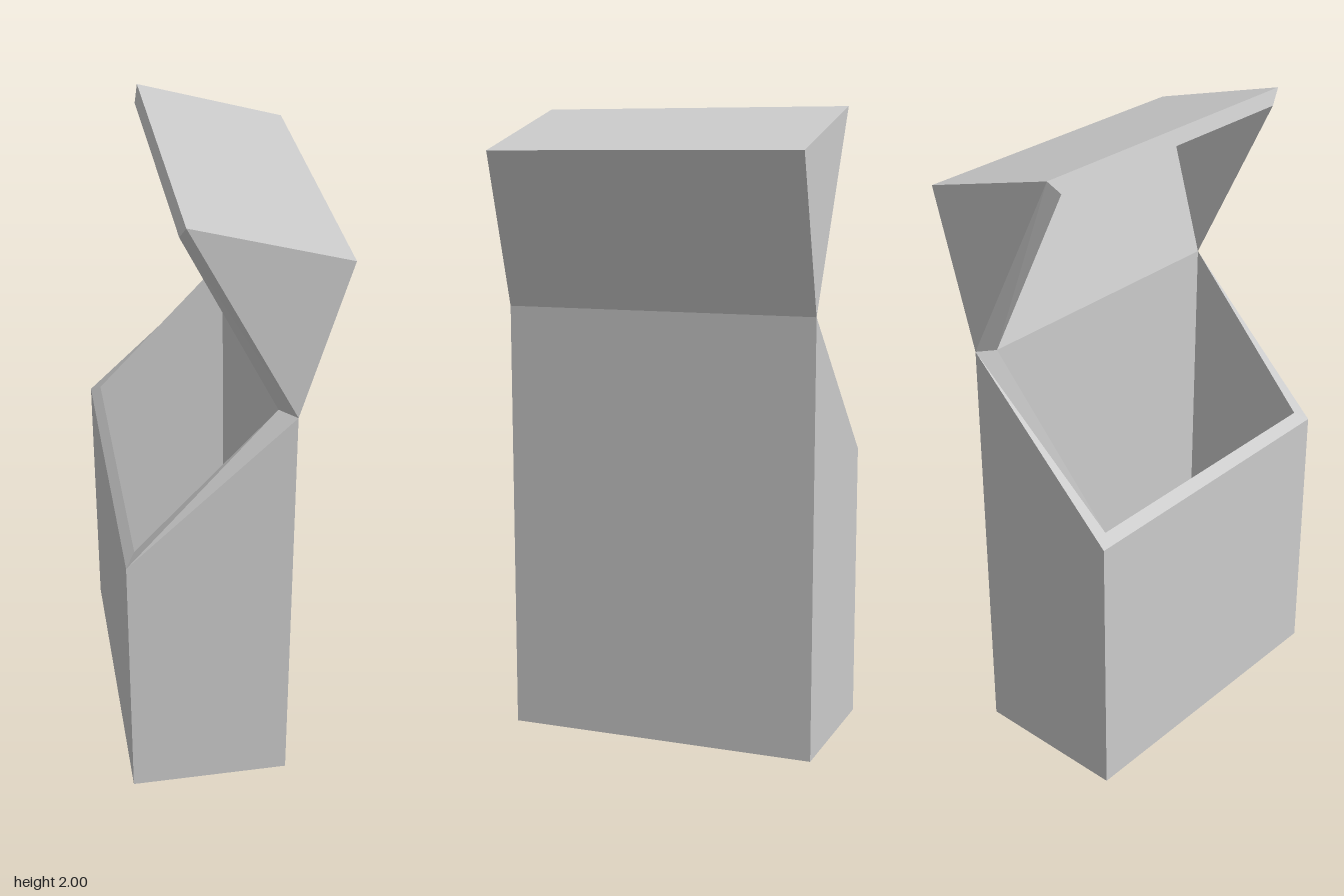
import * as THREE from 'three';

const OUTER_Z = 0.505, INNER_Z = 0.465;

// Walled shell from two convex counter-clockwise profiles [x, y];
// the edge from the last point back to the first is the opening.
function shell(name, outer, inner) {
  const pos = [];
  const face = (...pts) => {
    for (let i = 1; i < pts.length - 1; i++) pos.push(...pts[0], ...pts[i], ...pts[i + 1]);
  };

  const skin = (profile, z, inward) => {
    const put = pts => face(...(inward ? pts.reverse() : pts));
    for (let i = 0; i < profile.length - 1; i++) {
      const a = profile[i], b = profile[i + 1];
      put([[...a, z], [...a, -z], [...b, -z], [...b, z]]);
    }
    put(profile.map(p => [...p, z]));
    put(profile.map(p => [...p, -z]).reverse());
  };
  skin(outer, OUTER_Z, false);
  skin(inner, INNER_Z, true);

  // bevelled rim joining the two skins around the opening
  const loop = (profile, z) => {
    const a = profile[0], b = profile[profile.length - 1];
    return [[...b, z], [...b, -z], [...a, -z], [...a, z]];
  };
  const o = loop(outer, OUTER_Z), n = loop(inner, INNER_Z);
  for (let k = 0; k < 4; k++) {
    const j = (k + 1) % 4;
    face(o[k], o[j], n[j], n[k]);
  }

  const geometry = new THREE.BufferGeometry();
  geometry.setAttribute('position', new THREE.Float32BufferAttribute(pos, 3));
  geometry.computeVertexNormals();
  const mesh = new THREE.Mesh(geometry, new THREE.MeshStandardMaterial({ color: 0xcccccc, flatShading: true }));
  mesh.name = name;
  return mesh;
}

export function createModel() {
  const group = new THREE.Group();
  group.name = 'flipTopBox';

  // hollow box with a slanted mouth
  group.add(shell('boxBody',
    [[-0.325, 0.9], [-0.325, 0], [0.18, 0], [0.18, 1.38]],
    [[-0.295, 0.93], [-0.295, 0.04], [0.14, 0.04], [0.13, 1.388]]));

  // wedge lid, hinged open at the top of the back wall
  group.add(shell('hingedLid',
    [[0.18, 1.38], [0.323, 1.866], [-0.137, 2]],
    [[0.13, 1.388], [0.26, 1.833], [-0.15, 1.955]]));

  return group;
}
